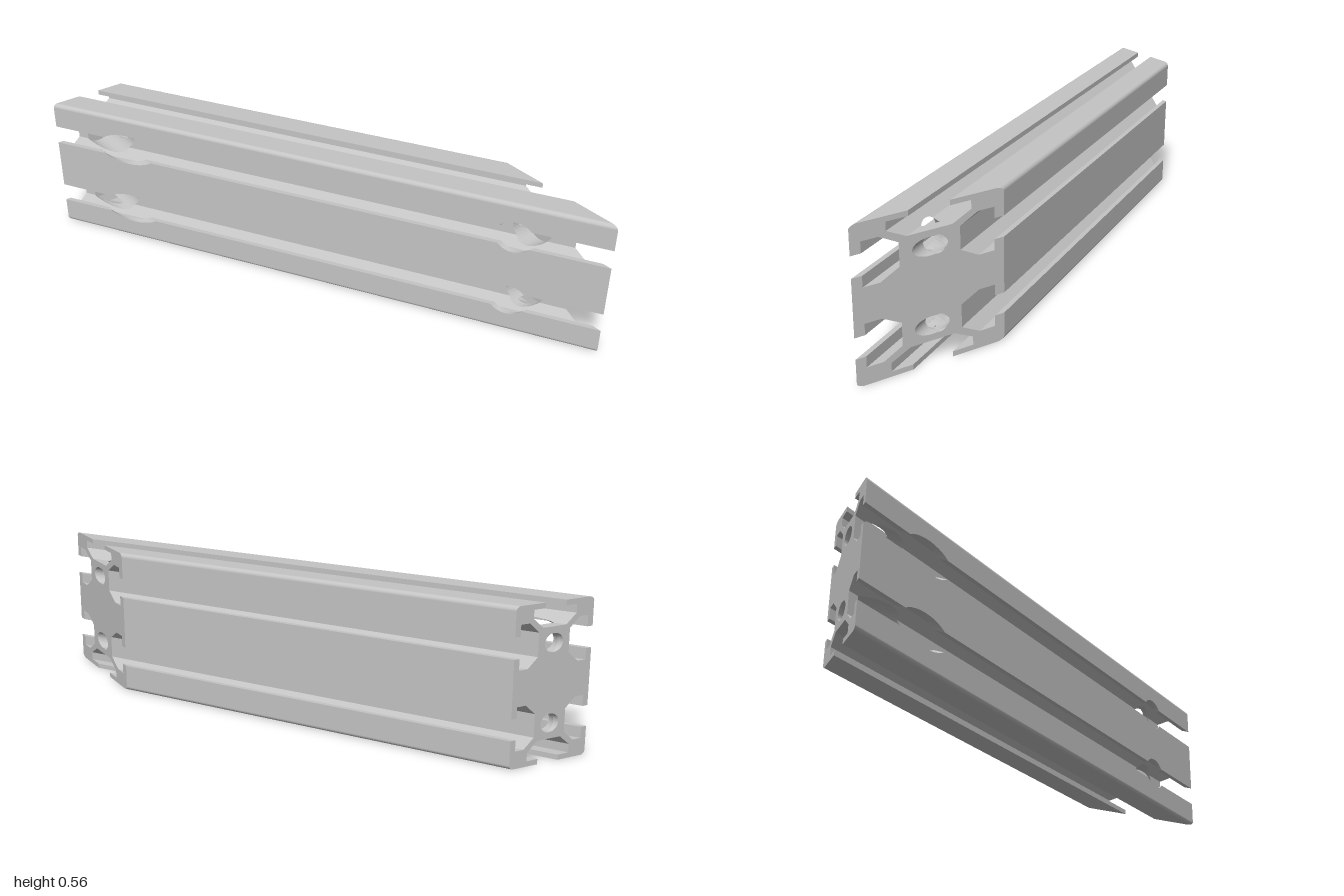
import * as THREE from 'three';

// --- Section: a 1 x 2 slotted bar, cut at both ends and running 30 degrees off z ---
const UNIT = 0.2825, HEIGHT = UNIT * 2, ROUND = 0.016;
const BORE = 0.033, END_X = 0.577, END_Z = -1;
const COS = Math.cos(Math.PI / 6), SIN = 0.5;
const SLOT = [[-0.038, 0], [-0.038, 0.019], [-0.078, 0.019], [-0.078, 0.05], [-0.042, 0.085]];

function sectionShape() {
  const shape = new THREE.Shape();
  // each side: start corner, direction, length, slot centres
  const short = [UNIT / 2], long = [UNIT / 2, UNIT * 1.5];
  const sides = [
    [0, 0, 1, 0, UNIT, short],
    [UNIT, 0, 0, 1, HEIGHT, long],
    [UNIT, HEIGHT, -1, 0, UNIT, short],
    [0, HEIGHT, 0, -1, HEIGHT, long],
  ];
  const slot = [...SLOT, ...SLOT.map(([t, d]) => [-t, d]).reverse()];
  sides.forEach(([x, y, dx, dy, length, centres], i) => {
    const at = (t, d) => [x + dx * t - dy * d, y + dy * t + dx * d];
    if (i === 0) shape.moveTo(...at(ROUND, 0));
    for (const c of centres) for (const [t, d] of slot) shape.lineTo(...at(c + t, d));
    shape.lineTo(...at(length - ROUND, 0));
    const angle = Math.atan2(dy, dx);
    shape.absarc(...at(length - ROUND, ROUND), ROUND, angle - Math.PI / 2, angle, false);
  });
  // round bore along each core
  for (const y of long) {
    shape.holes.push(new THREE.Path().absarc(UNIT / 2, y, BORE, 0, Math.PI * 2, true));
  }
  return shape;
}

function barGeometry() {
  const geo = new THREE.ExtrudeGeometry(sectionShape(), { depth: 1, bevelEnabled: false, curveSegments: 16 });
  const p = geo.attributes.position;
  for (let i = 0; i < p.count; i++) {
    const u = p.getX(i);
    // slide each end along the bar until it meets its cutting plane
    const s = p.getZ(i) < 0.5 ? (END_Z + SIN * u) / COS : (END_X - COS * u) / SIN;
    p.setXYZ(i, COS * u + SIN * s, p.getY(i), -SIN * u + COS * s);
  }
  return geo;
}

// stepped drill: narrow through the end wall, wide behind it
function drillGeometry() {
  const r = 0.033, R = 0.065, wall = 0.038, reach = 0.45;
  const profile = [[0, -0.05], [r, -0.05], [r, wall], [R, wall], [R, reach], [0, reach]];
  return new THREE.LatheGeometry(profile.map(([x, y]) => new THREE.Vector2(x, y)), 32);
}

// --- Small solid subtraction by binary space partition ---
const EPS = 1e-6;

function toPolygons(geometry) {
  const g = geometry.index ? geometry.toNonIndexed() : geometry;
  const p = g.attributes.position, polygons = [];
  for (let i = 0; i < p.count; i += 3) {
    const v = [0, 1, 2].map((k) => new THREE.Vector3().fromBufferAttribute(p, i + k));
    if (new THREE.Triangle(...v).getArea() < 1e-9) continue;
    polygons.push({ v, plane: new THREE.Plane().setFromCoplanarPoints(...v) });
  }
  return polygons;
}

function split(plane, poly, same, opposite, front, back) {
  const dist = poly.v.map((v) => plane.distanceToPoint(v));
  const ahead = dist.some((d) => d > EPS), behind = dist.some((d) => d < -EPS);
  if (!ahead && !behind) (plane.normal.dot(poly.plane.normal) > 0 ? same : opposite).push(poly);
  else if (!behind) front.push(poly);
  else if (!ahead) back.push(poly);
  else {
    const f = [], b = [];
    poly.v.forEach((v, i) => {
      const j = (i + 1) % poly.v.length, a = dist[i], c = dist[j];
      if (a >= -EPS) f.push(v);
      if (a <= EPS) b.push(v);
      if ((a > EPS && c < -EPS) || (a < -EPS && c > EPS)) {
        const cut = v.clone().lerp(poly.v[j], a / (a - c));
        f.push(cut);
        b.push(cut);
      }
    });
    if (f.length > 2) front.push({ v: f, plane: poly.plane.clone() });
    if (b.length > 2) back.push({ v: b, plane: poly.plane.clone() });
  }
}

class Solid {
  constructor(polygons) {
    this.polygons = [];
    this.add(polygons);
  }
  add(polygons) {
    if (!polygons.length) return;
    this.plane ??= polygons[0].plane.clone();
    const front = [], back = [];
    for (const p of polygons) split(this.plane, p, this.polygons, this.polygons, front, back);
    if (front.length) this.front ? this.front.add(front) : (this.front = new Solid(front));
    if (back.length) this.back ? this.back.add(back) : (this.back = new Solid(back));
  }
  invert() {
    for (const p of this.polygons) {
      p.v = p.v.slice().reverse();
      p.plane.negate();
    }
    this.plane.negate();
    this.front?.invert();
    this.back?.invert();
    [this.front, this.back] = [this.back, this.front];
  }
  outside(polygons) {
    const front = [], back = [];
    for (const p of polygons) split(this.plane, p, front, back, front, back);
    const kept = this.front ? this.front.outside(front) : front;
    return this.back ? kept.concat(this.back.outside(back)) : kept;
  }
  clipTo(other) {
    this.polygons = other.outside(this.polygons);
    this.front?.clipTo(other);
    this.back?.clipTo(other);
  }
  all() {
    return [...this.polygons, ...(this.front?.all() ?? []), ...(this.back?.all() ?? [])];
  }
}

function subtract(polygons, cutter) {
  const a = new Solid(polygons), b = new Solid(cutter);
  a.invert();
  a.clipTo(b);
  b.clipTo(a);
  b.invert();
  b.clipTo(a);
  b.invert();
  a.add(b.all());
  a.invert();
  return a.all();
}

function toGeometry(polygons) {
  const position = [], normal = [];
  for (const { v, plane } of polygons) {
    for (let i = 2; i < v.length; i++) {
      for (const q of [v[0], v[i - 1], v[i]]) {
        position.push(q.x, q.y, q.z);
        normal.push(...plane.normal.toArray());
      }
    }
  }
  const geo = new THREE.BufferGeometry();
  geo.setAttribute('position', new THREE.Float32BufferAttribute(position, 3));
  geo.setAttribute('normal', new THREE.Float32BufferAttribute(normal, 3));
  return geo;
}

export function createModel() {
  const aluminium = new THREE.MeshStandardMaterial({ color: 0xc4c4c4 });
  aluminium.name = 'aluminium';

  // bolt holes: two through each end face, square to that face
  let polygons = toPolygons(barGeometry());
  for (const y of [UNIT / 2, UNIT * 1.5]) {
    const backDrill = drillGeometry().rotateX(Math.PI / 2).translate(-0.41, y, END_Z);
    const sideDrill = drillGeometry().rotateZ(Math.PI / 2).translate(END_X, y, 0.69);
    polygons = subtract(polygons, toPolygons(backDrill));
    polygons = subtract(polygons, toPolygons(sideDrill));
  }

  const bar = new THREE.Mesh(toGeometry(polygons), aluminium);
  bar.name = 'slottedBar';
  const model = new THREE.Group();
  model.name = 'mitredProfile';
  model.add(bar);
  return model;
}
